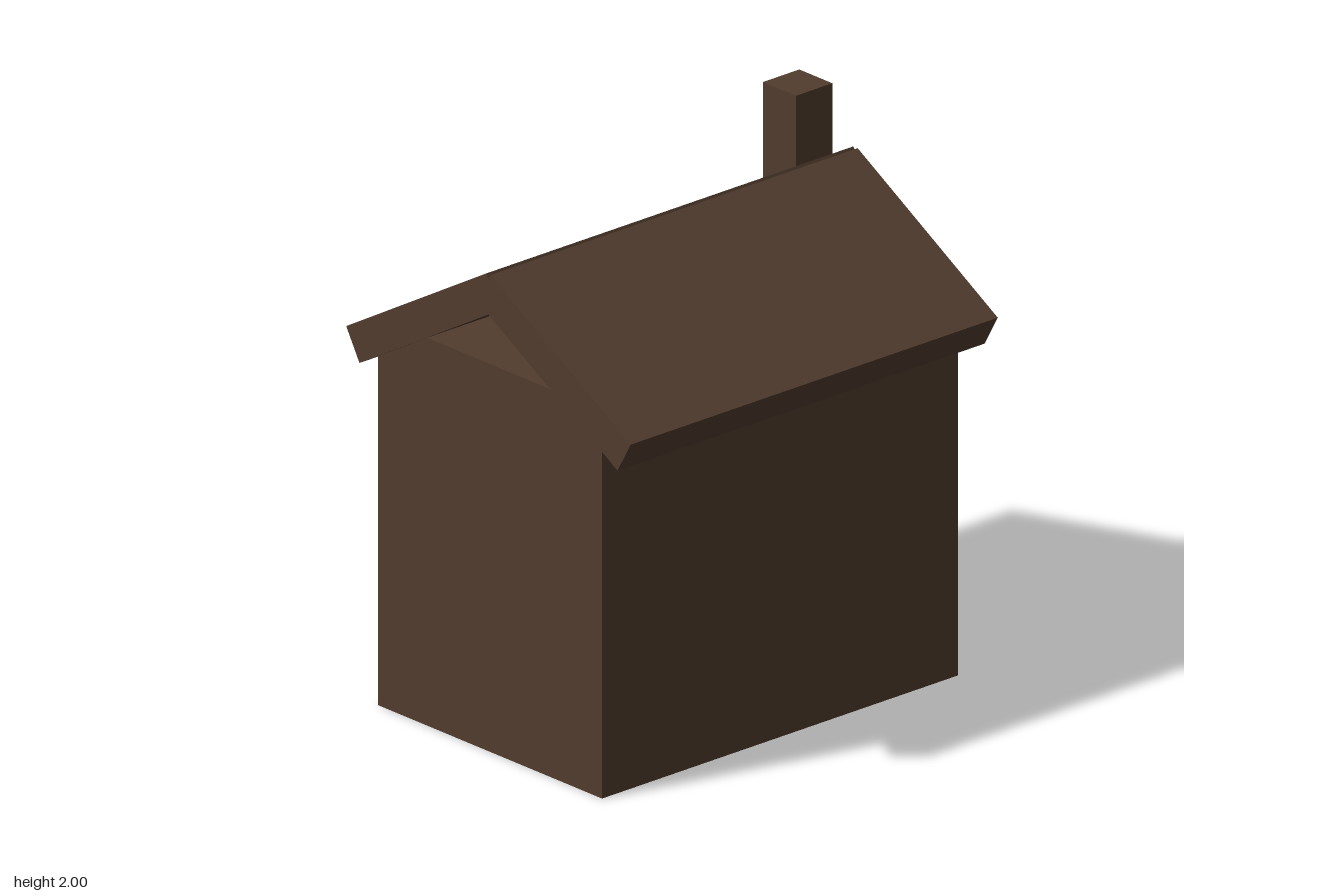
import * as THREE from 'three';

export function createModel() {
  const house = new THREE.Group();
  house.name = 'house';

  const brown = new THREE.MeshStandardMaterial({ color: 0x523c2e });
  brown.name = 'dark brown';

  const T = 0.04;       // wall thickness
  const WALL_H = 1.41;
  const HALF_X = 0.54;  // window wall is added outside of this on -x
  const HALF_Z = 0.81;

  function add(name, geometry, x, y, z) {
    const mesh = new THREE.Mesh(geometry, brown);
    mesh.name = name;
    mesh.position.set(x, y, z);
    house.add(mesh);
    return mesh;
  }
  const box = (name, w, h, d, x, y, z) => add(name, new THREE.BoxGeometry(w, h, d), x, y, z);

  // Plain walls, open at the bottom, with a flat ceiling
  const innerZ = 2 * (HALF_Z - T);
  box('frontWall', 2 * HALF_X, WALL_H, T, 0, WALL_H / 2, HALF_Z - T / 2);
  box('backWall', 2 * HALF_X, WALL_H, T, 0, WALL_H / 2, -HALF_Z + T / 2);
  box('plainSideWall', T, WALL_H, innerZ, HALF_X - T / 2, WALL_H / 2, 0);
  box('ceiling', 2 * HALF_X - T, T, innerZ, -T / 2, WALL_H - T / 2, 0);

  // Entrance wall: shape x runs along z, the doorway is a notch in the outline
  const door = { from: -0.14, to: 0.165, top: 0.56 };
  const outline = new THREE.Shape([
    [-HALF_Z, 0], [door.from, 0], [door.from, door.top], [door.to, door.top],
    [door.to, 0], [HALF_Z, 0], [HALF_Z, WALL_H], [-HALF_Z, WALL_H],
  ].map(([a, b]) => new THREE.Vector2(a, b)));

  // Window openings: z start, z end, bottom, top
  const windows = [
    [-0.6, -0.35, 0.225, 0.525],
    [0.365, 0.625, 0.215, 0.53],
    [-0.545, -0.285, 0.835, 1.16],
    [0.305, 0.565, 0.84, 1.155],
  ];
  for (const [a, b, lo, hi] of windows) {
    outline.holes.push(new THREE.Path([
      new THREE.Vector2(a, lo), new THREE.Vector2(a, hi),
      new THREE.Vector2(b, hi), new THREE.Vector2(b, lo),
    ]));
  }
  const entrance = add('entranceWall',
    new THREE.ExtrudeGeometry(outline, { depth: T, bevelEnabled: false }), -HALF_X, 0, 0);
  entrance.rotation.y = -Math.PI / 2;

  // Two sloped roof slabs that cross at the ridge
  for (const side of [1, -1]) {
    const slab = box(side > 0 ? 'leftRoof' : 'rightRoof',
      0.808, 0.132, 1.67, side * 0.3275, 1.49, 0);
    slab.rotation.z = -side * Math.PI / 6;
  }

  // Chimney
  box('chimney', 0.165, 0.39, 0.165, -0.1025, 1.805, -0.665);

  return house;
}
